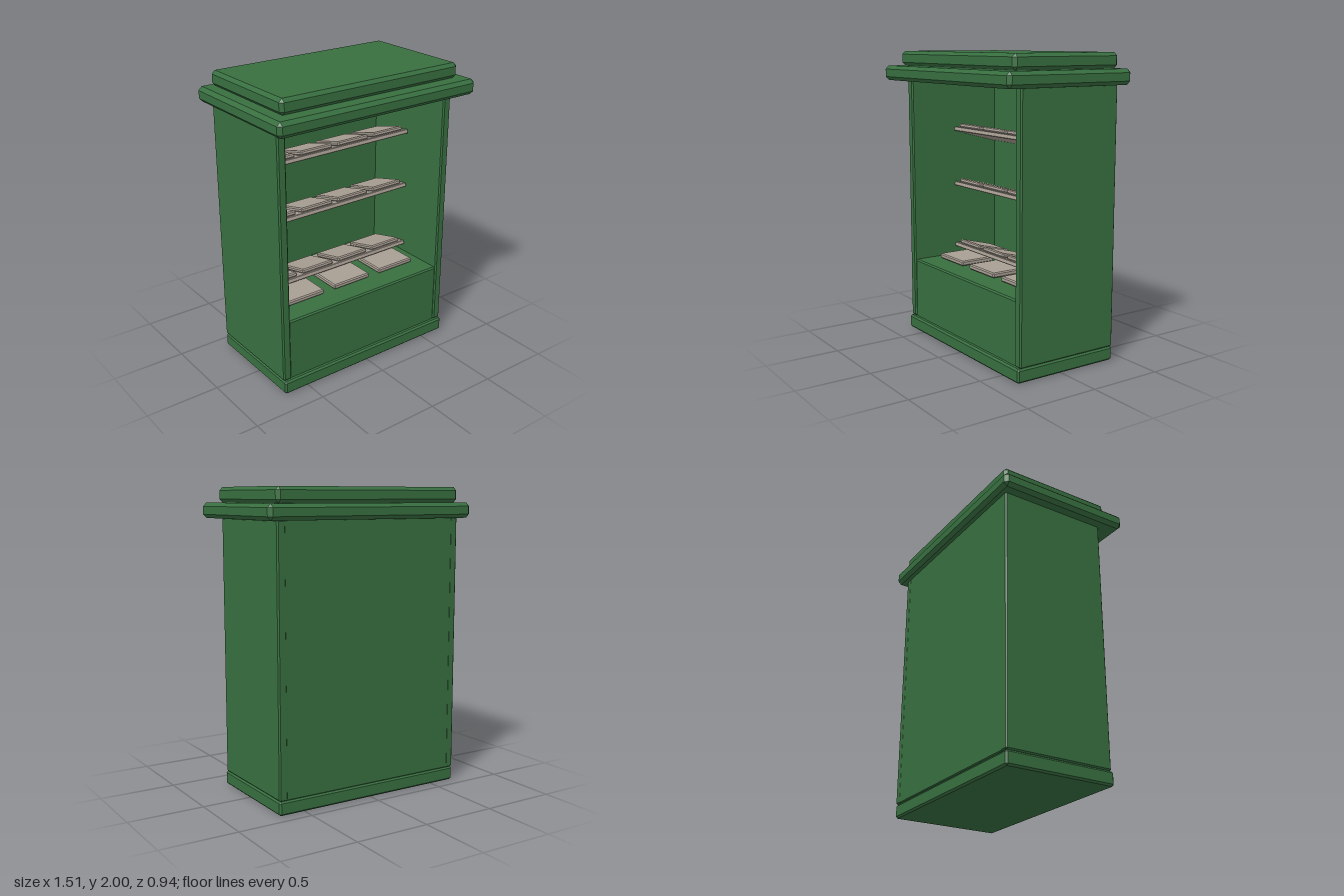
import * as THREE from 'three';
import { ConvexGeometry } from 'three/addons/geometries/ConvexGeometry.js';

// Box between two corners with every edge chamfered by c
function chamferBox(name, material, [x0, x1], [y0, y1], [z0, z1], c) {
  const half = [(x1 - x0) / 2, (y1 - y0) / 2, (z1 - z0) / 2];
  const points = [];
  for (const sx of [-1, 1]) for (const sy of [-1, 1]) for (const sz of [-1, 1]) {
    const s = [sx, sy, sz];
    for (let face = 0; face < 3; face++) {
      points.push(new THREE.Vector3(...s.map((v, i) => v * (half[i] - (i === face ? 0 : c)))));
    }
  }
  const mesh = new THREE.Mesh(new ConvexGeometry(points), material);
  mesh.name = name;
  mesh.position.set((x0 + x1) / 2, (y0 + y1) / 2, (z0 + z1) / 2);
  return mesh;
}

export function createModel() {
  const green = new THREE.MeshStandardMaterial({ color: 0x386f40 });
  green.name = 'green paint';
  const beige = new THREE.MeshStandardMaterial({ color: 0xa99f94 });
  beige.name = 'warm grey';

  const model = new THREE.Group();
  model.name = 'newsstand';

  // Plinth, counter and back
  model.add(
    chamferBox('plinth', green, [-0.68, 0.68], [0, 0.093], [-0.42, 0.34], 0.012),
    chamferBox('counter', green, [-0.63, 0.63], [0.08, 0.515], [-0.4, 0.31], 0.01),
    chamferBox('backPanel', green, [-0.672, 0.672], [0.093, 1.805], [-0.419, -0.37], 0.006),
  );

  // Side walls
  for (const s of [-1, 1]) {
    const xs = s > 0 ? [0.62, 0.68] : [-0.68, -0.62];
    model.add(chamferBox(s > 0 ? 'leftWall' : 'rightWall', green, xs, [0.093, 1.805], [-0.42, 0.322], 0.009));
  }

  // Stepped roof
  model.add(
    chamferBox('cornice', green, [-0.757, 0.757], [1.8, 1.9], [-0.47, 0.466], 0.024),
    chamferBox('roofCap', green, [-0.68, 0.68], [1.9, 2], [-0.425, 0.373], 0.022),
  );

  // Shelves that drop towards the back, each with a row of four magazines
  for (const y of [0.605, 1.06, 1.46]) {
    const shelf = new THREE.Group();
    shelf.name = 'shelf';
    shelf.add(chamferBox('shelfBoard', beige, [-0.615, 0.615], [-0.03, 0], [-0.36, 0], 0.004));
    for (let i = 0; i < 4; i++) {
      const x = -0.447 + i * 0.299;
      shelf.add(chamferBox('shelfMagazine', beige, [x - 0.126, x + 0.126], [0, 0.03], [-0.28, -0.01], 0.008));
    }
    shelf.position.set(0, y, -0.02);
    shelf.rotation.x = -0.26;
    model.add(shelf);
  }

  // Three magazines lying on the counter
  for (const x of [-0.387, -0.002, 0.383]) {
    model.add(chamferBox('counterMagazine', beige, [x - 0.149, x + 0.149], [0.522, 0.557], [-0.1, 0.16], 0.008));
  }

  return model;
}
